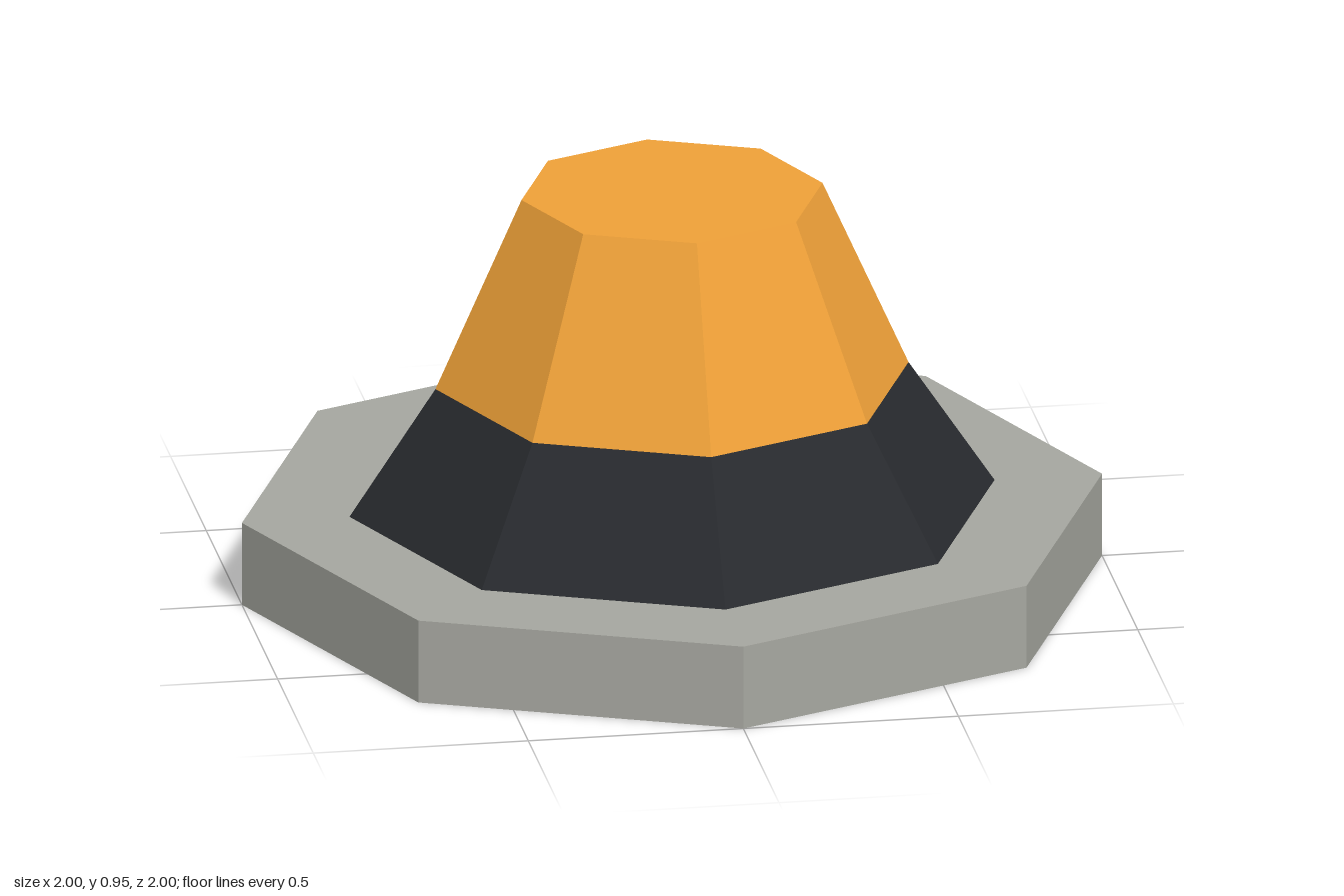
import * as THREE from 'three';

const SIDES = 8;

// One octagonal tapered tier standing on height y
function tier(name, color, bottomRadius, topRadius, y, height) {
  const geometry = new THREE.CylinderGeometry(topRadius, bottomRadius, height, SIDES);
  geometry.translate(0, y + height / 2, 0);
  const material = new THREE.MeshStandardMaterial({ color, flatShading: true });
  const mesh = new THREE.Mesh(geometry, material);
  mesh.name = name;
  return mesh;
}

export function createModel() {
  const model = new THREE.Group();
  model.name = 'taperedPedestal';
  model.add(
    tier('basePlate', 0xa5a69f, 1, 1, 0, 0.2),
    tier('darkCollar', 0x282a2e, 0.75, 0.55, 0.2, 0.3),
    tier('orangeCap', 0xeea038, 0.55, 0.35, 0.5, 0.45),
  );
  return model;
}
